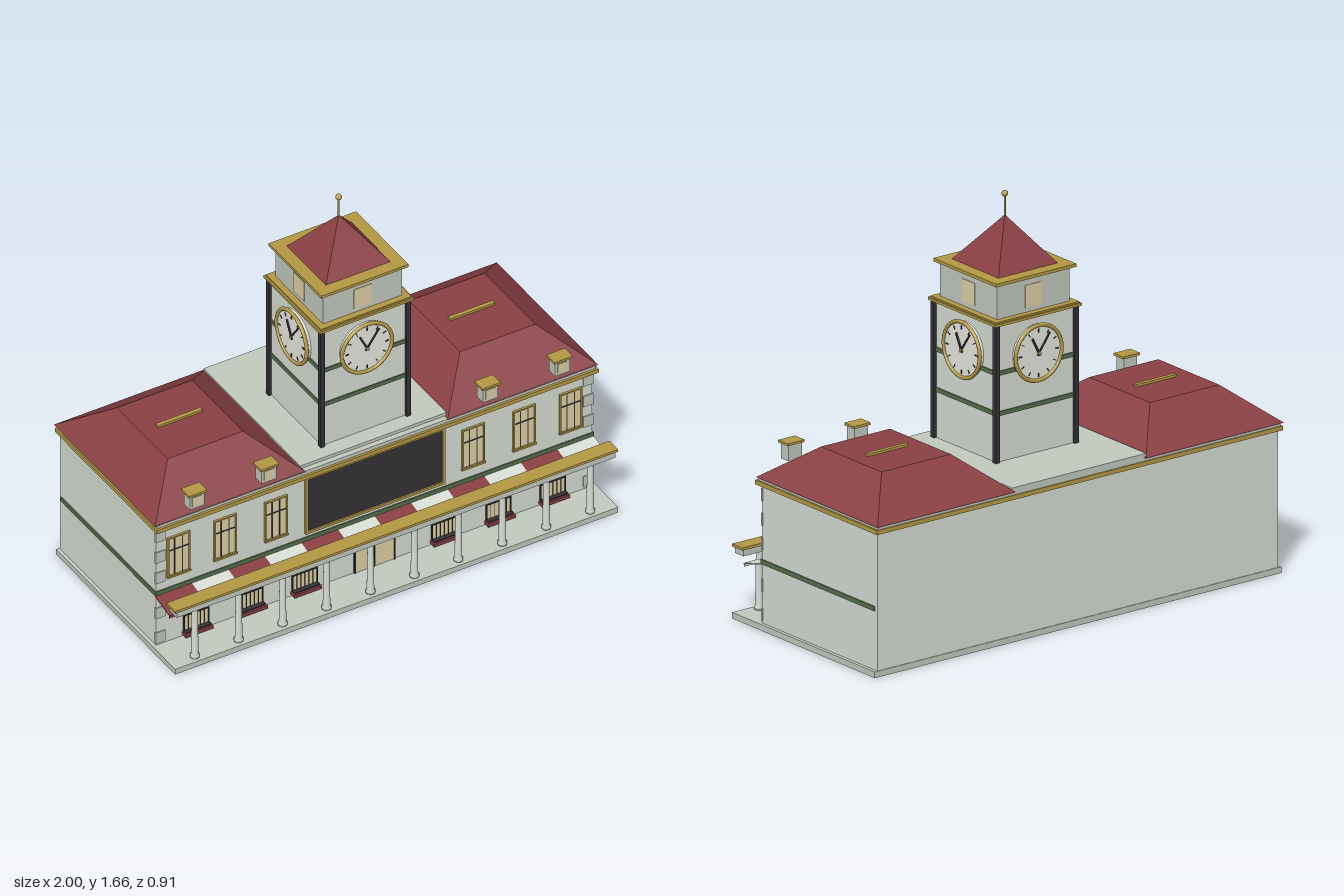
import * as THREE from 'three';

const material = (color) => new THREE.MeshStandardMaterial({ color });
const white = material(0xd8dfd6), stone = material(0xc3cac0), red = material(0x8a4044), gold = material(0xb59a45);
const green = material(0x566f4c), dark = material(0x343236), cream = material(0xdfd2a6), face = material(0xe8eae2);

function add(parent, name, geometry, mat, x = 0, y = 0, z = 0) {
  const mesh = new THREE.Mesh(geometry, mat);
  mesh.name = name;
  mesh.position.set(x, y, z);
  parent.add(mesh);
  return mesh;
}

// Box given by its limits on each axis
function box(parent, name, mat, x0, x1, y0, y1, z0, z1) {
  return add(parent, name, new THREE.BoxGeometry(x1 - x0, y1 - y0, z1 - z0), mat,
    (x0 + x1) / 2, (y0 + y1) / 2, (z0 + z1) / 2);
}

function group(parent, name, x = 0, y = 0, z = 0) {
  const g = new THREE.Group();
  g.name = name;
  g.position.set(x, y, z);
  parent.add(g);
  return g;
}

// Rectangular frame, open in the middle
function frame(parent, name, mat, w, h, t, depth) {
  const f = group(parent, name);
  for (const s of [-1, 1]) {
    box(f, 'frameBar', mat, -w / 2, w / 2, s * (h / 2 - t / 2) - t / 2, s * (h / 2 - t / 2) + t / 2, 0, depth);
    box(f, 'frameBar', mat, s * (w / 2 - t / 2) - t / 2, s * (w / 2 - t / 2) + t / 2, -h / 2, h / 2, 0, depth);
  }
  return f;
}

// Flat-topped hip roof: a box with its top corners drawn in
function hipRoof(parent, x) {
  const g = new THREE.BoxGeometry(0.68, 0.14, 0.76);
  const p = g.attributes.position;
  for (let i = 0; i < p.count; i++) {
    if (p.getY(i) > 0) p.setXYZ(i, Math.sign(p.getX(i)) * 0.17, 0.07, Math.sign(p.getZ(i)) * 0.19);
  }
  g.computeVertexNormals();
  add(parent, 'hipRoof', g, red, x, 0.69, -0.075);
  box(parent, 'roofRidge', gold, x - 0.1, x + 0.1, 0.755, 0.77, -0.09, -0.072);
}

function upperWindow(parent, x) {
  const w = group(parent, 'upperWindow', x, 0.433, 0.285);
  box(w, 'pane', cream, -0.047, 0.047, -0.09, 0.09, -0.005, 0.003);
  frame(w, 'windowFrame', gold, 0.102, 0.19, 0.006, 0.009);
  for (const dx of [-0.017, 0.017]) box(w, 'mullion', dark, dx - 0.002, dx + 0.002, -0.09, 0.09, 0, 0.006);
  box(w, 'transom', dark, -0.047, 0.047, 0.028, 0.032, 0, 0.006);
  box(w, 'sill', gold, -0.053, 0.053, -0.098, -0.09, 0, 0.012);
}

function ticketWindow(parent, x) {
  const w = group(parent, 'ticketWindow', x, 0, 0.285);
  box(w, 'pane', cream, -0.055, 0.055, 0.048, 0.12, -0.005, 0.003);
  const f = frame(w, 'windowFrame', dark, 0.114, 0.076, 0.004, 0.007);
  f.position.y = 0.085;
  for (let i = -2; i <= 2; i++) box(w, 'bar', dark, i * 0.018 - 0.001, i * 0.018 + 0.001, 0.048, 0.12, 0, 0.006);
  box(w, 'blankSign', gold, -0.042, 0.042, 0.127, 0.151, -0.005, 0.008);
  box(w, 'counter', red, -0.062, 0.062, 0.032, 0.046, -0.005, 0.03);
  box(w, 'counterEdge', dark, -0.057, 0.057, 0.046, 0.051, -0.005, 0.022);
}

function clock(parent) {
  const c = group(parent, 'clock', 0, 1.05, 0.192);
  const disc = add(c, 'clockFace', new THREE.CylinderGeometry(0.112, 0.112, 0.02, 48), face, 0, 0, 0.01);
  disc.rotation.x = Math.PI / 2;
  add(c, 'clockRim', new THREE.TorusGeometry(0.113, 0.008, 10, 48), gold, 0, 0, 0.02);
  for (let i = 0; i < 12; i++) {
    const spoke = group(c, 'hourMark');
    spoke.rotation.z = i * Math.PI / 6;
    const half = i % 3 ? 0.0015 : 0.0025;
    box(spoke, 'mark', dark, -half, half, 0.083, 0.098, 0.019, 0.023);
  }
  for (const [name, angle, length, half] of [['hourHand', 0.48, 0.07, 0.004], ['minuteHand', -0.62, 0.092, 0.0025]]) {
    const h = group(c, name);
    h.rotation.z = angle;
    box(h, 'hand', dark, -half, half, -0.012, length, 0.02, 0.026);
  }
  const hub = add(c, 'clockHub', new THREE.CylinderGeometry(0.007, 0.007, 0.012, 16), gold, 0, 0, 0.023);
  hub.rotation.x = Math.PI / 2;
}

function tower(parent) {
  const t = group(parent, 'clockTower', 0, 0, 0.02);
  const slab = (name, mat, half, y0, y1) => box(t, name, mat, -half, half, y0, y1, -half, half);
  slab('shaft', white, 0.192, 0.62, 1.2);
  for (const y of [0.825, 0.99]) slab('greenBand', green, 0.197, y, y + 0.018);
  slab('lowerCornice', gold, 0.212, 1.197, 1.208);
  slab('lowerCorniceTop', gold, 0.205, 1.208, 1.214);
  slab('belfry', stone, 0.178, 1.21, 1.357);
  slab('upperCornice', gold, 0.197, 1.355, 1.368);
  for (const x of [-1, 1]) for (const z of [-1, 1]) {
    box(t, 'cornerPost', dark, x * 0.194 - 0.01, x * 0.194 + 0.01, 0.62, 1.198, z * 0.194 - 0.01, z * 0.194 + 0.01);
  }
  for (let i = 0; i < 4; i++) {
    const side = group(t, 'towerSide');
    side.rotation.y = i * Math.PI / 2;
    clock(side);
    box(side, 'belfryWindow', cream, -0.04, 0.04, 1.232, 1.325, 0.17, 0.181);
  }
  const spire = new THREE.CylinderGeometry(0, 0.146 * Math.SQRT2, 0.19, 4).toNonIndexed();
  spire.computeVertexNormals();
  add(t, 'spire', spire, red, 0, 1.463, 0).rotation.y = Math.PI / 4;
  add(t, 'finialPole', new THREE.CylinderGeometry(0.004, 0.004, 0.1, 12), gold, 0, 1.595, 0);
  add(t, 'finialBall', new THREE.SphereGeometry(0.013, 20, 14), gold, 0, 1.645, 0);
}

function veranda(parent) {
  const v = group(parent, 'veranda');
  // Ten evenly spaced round columns
  const profile = [[0, 0], [0.019, 0], [0.019, 0.012], [0.015, 0.016], [0.012, 0.225], [0.017, 0.232], [0.017, 0.245], [0, 0.245]]
    .map(([r, y]) => new THREE.Vector2(r, y));
  const column = new THREE.LatheGeometry(profile, 20);
  for (let i = 0; i < 10; i++) add(v, 'column', column, white, -0.893 + i * 0.1984, 0.025, 0.423);
  box(v, 'beam', stone, -0.99, 0.99, 0.268, 0.296, 0.396, 0.45);
  box(v, 'beamCap', gold, -1, 1, 0.295, 0.306, 0.39, 0.455);
  // Striped sloping awning with a short valance
  for (let i = 0; i < 12; i++) {
    const mat = i % 2 ? white : red, x = -0.99 + (i + 0.5) * 0.165;
    add(v, 'awningStripe', new THREE.BoxGeometry(0.165, 0.004, 0.112), mat, x, 0.253, 0.34).rotation.x = 0.235;
    box(v, 'valance', mat, x - 0.0825, x + 0.0825, 0.228, 0.242, 0.39, 0.394);
  }
}

export function createModel() {
  const model = new THREE.Group();
  model.name = 'clockTowerPavilion';

  // Main block
  box(model, 'plinth', stone, -1, 1, 0, 0.025, -0.438, 0.455);
  box(model, 'walls', white, -0.985, 0.985, 0.02, 0.595, -0.435, 0.285);
  box(model, 'greenCourse', green, -0.99, 0.99, 0.267, 0.286, -0.42, 0.289);
  box(model, 'goldCornice', gold, -0.998, 0.998, 0.588, 0.606, -0.45, 0.313);
  box(model, 'whiteCornice', stone, -0.99, 0.99, 0.605, 0.622, -0.445, 0.303);
  box(model, 'flatRoof', stone, -0.33, 0.33, 0.62, 0.636, -0.445, 0.28);

  // Wings, mirrored left and right
  for (const s of [-1, 1]) {
    hipRoof(model, s * 0.66);
    for (const x of [0.5, 0.825]) {
      const d = group(model, 'roofTurret', s * x, 0, 0.306);
      box(d, 'turretBody', stone, -0.033, 0.033, 0.66, 0.726, -0.023, 0.022);
      box(d, 'turretPane', cream, -0.022, 0.022, 0.672, 0.715, 0.015, 0.024);
      box(d, 'turretCap', gold, -0.041, 0.041, 0.725, 0.735, -0.03, 0.03);
    }
    for (const x of [0.885, 0.675, 0.445]) upperWindow(model, s * x);
    for (const x of [0.805, 0.56, 0.315]) ticketWindow(model, s * x);
    for (const y of [0.06, 0.18, 0.35, 0.45, 0.55]) {
      const q = box(model, 'cornerStone', stone, -0.022, 0.022, y - 0.026, y + 0.026, 0.28, 0.289);
      q.position.x = s * 0.966;
    }
  }

  // Dark display board above the entrance
  box(model, 'displayBoard', dark, -0.305, 0.305, 0.315, 0.572, 0.28, 0.291);
  frame(model, 'boardFrame', gold, 0.628, 0.274, 0.011, 0.014).position.set(0, 0.443, 0.284);

  // Entrance
  const door = group(model, 'entrance', 0, 0, 0.285);
  box(door, 'doorLeaves', cream, -0.088, 0.088, 0.025, 0.2, -0.005, 0.004);
  box(door, 'doorSplit', dark, -0.003, 0.003, 0.025, 0.2, 0, 0.007);
  for (const s of [-1, 1]) box(door, 'doorJamb', dark, s * 0.09 - 0.003, s * 0.09 + 0.003, 0.025, 0.2, 0, 0.008);
  box(door, 'doorLintel', gold, -0.092, 0.092, 0.2, 0.222, -0.005, 0.01);

  veranda(model);
  tower(model);
  return model;
}
